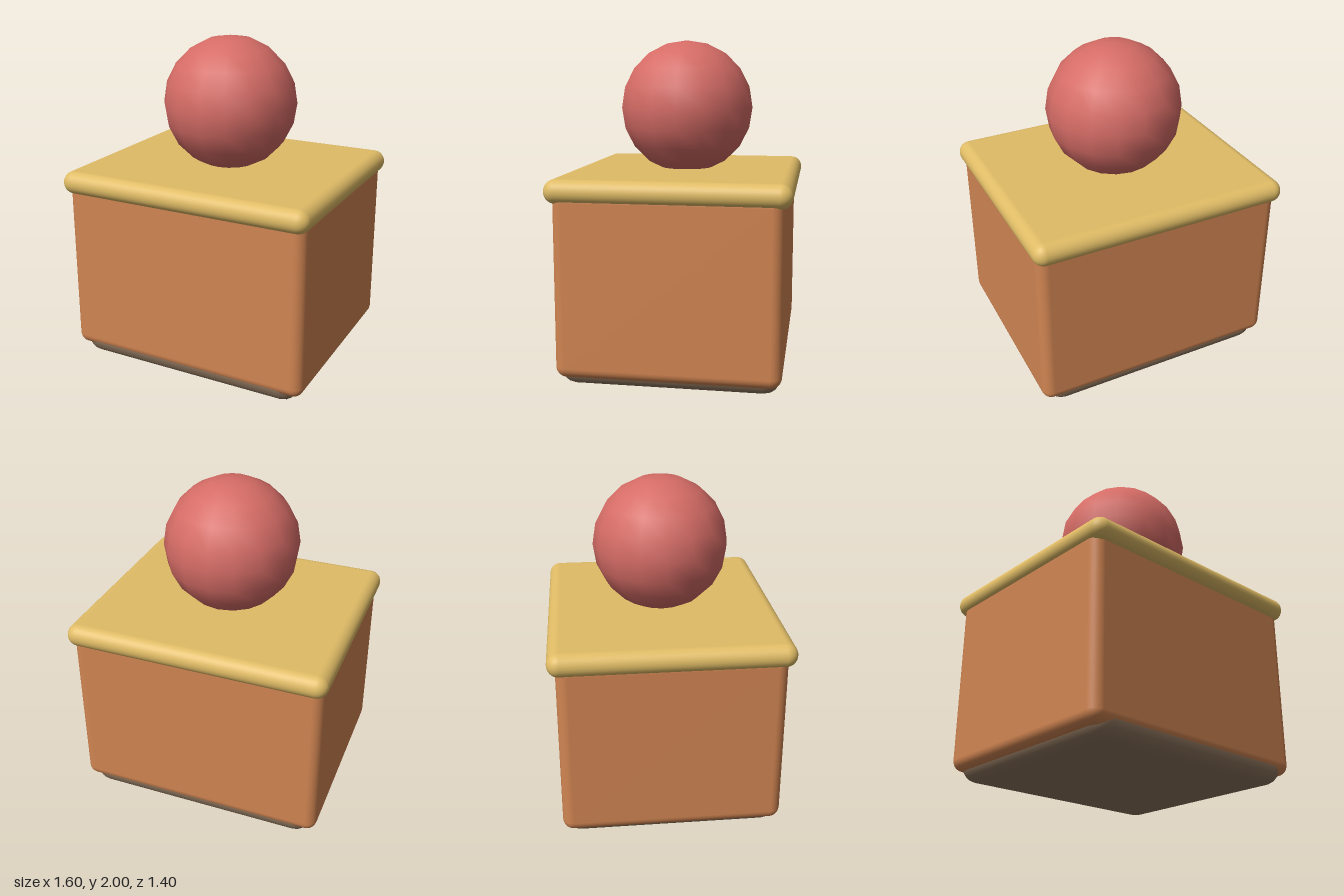
import * as THREE from 'three';
import { RoundedBoxGeometry } from 'three/addons/geometries/RoundedBoxGeometry.js';

// Adds a named, coloured mesh centred on x = z = 0 at height y
function addPart(group, name, geometry, color, y) {
  const mesh = new THREE.Mesh(geometry, new THREE.MeshStandardMaterial({ color }));
  mesh.name = name;
  mesh.position.y = y;
  group.add(mesh);
}

// Adds a rounded slab between two heights
function addSlab(group, name, color, width, depth, bottom, top, radius, segments) {
  const geometry = new RoundedBoxGeometry(width, top - bottom, depth, segments, radius);
  addPart(group, name, geometry, color, (bottom + top) / 2);
}

export function createModel() {
  const group = new THREE.Group();
  group.name = 'boxWithKnob';

  // Base, set slightly inside the body
  addSlab(group, 'base', 0x8f765e, 1.46, 1.292, 0, 0.2, 0.1, 2);
  // Main box
  addSlab(group, 'body', 0xd18552, 1.55, 1.304, 0.06, 1.15, 0.065, 4);
  // Overhanging lid with fully rounded rim
  addSlab(group, 'lid', 0xe0bc66, 1.6, 1.396, 1.077, 1.217, 0.07, 4);
  // Round knob, sunk a little into the lid
  addPart(group, 'knob', new THREE.SphereGeometry(0.41, 16, 10), 0xd66c66, 1.59);

  return group;
}
